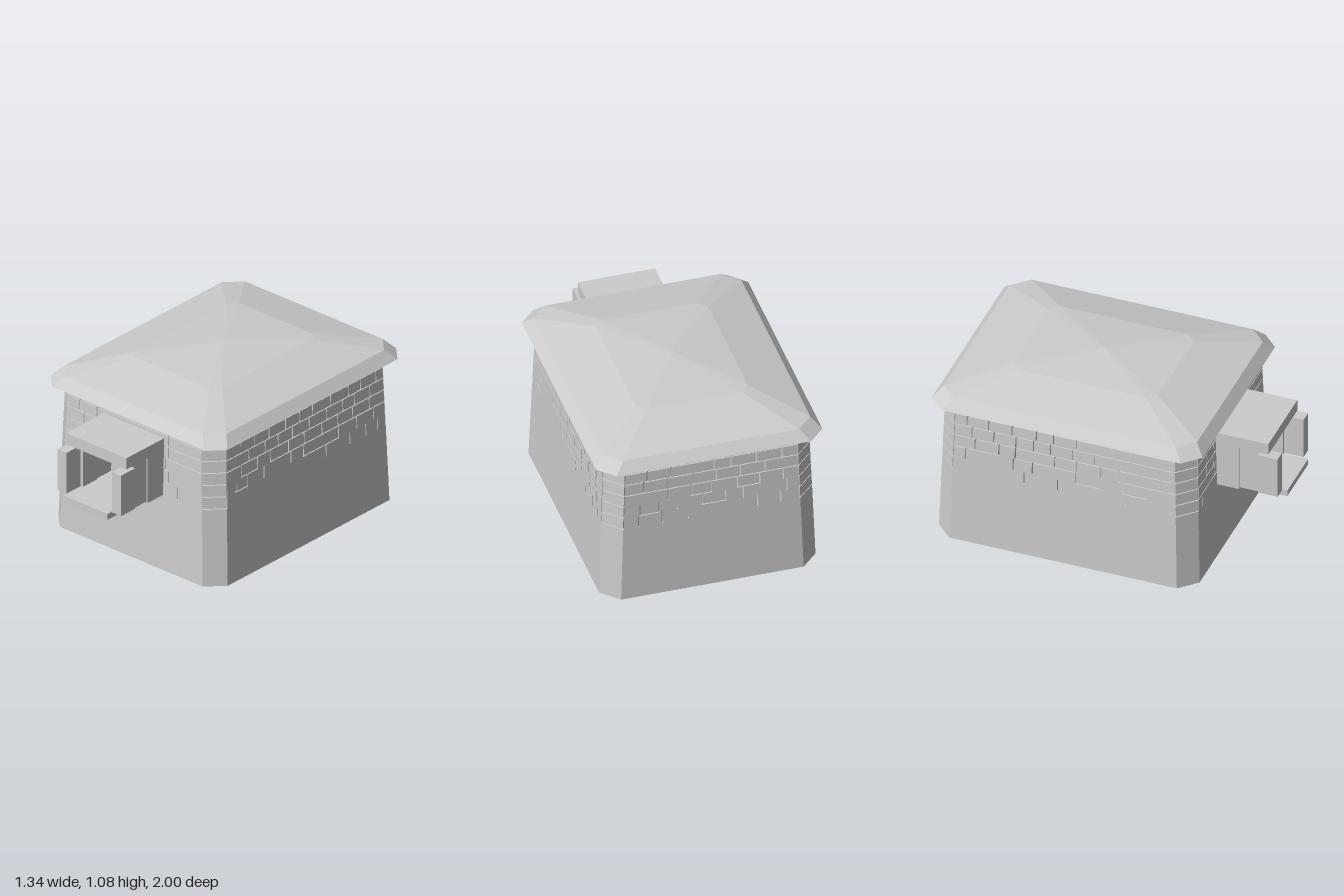
import * as THREE from 'three';
import { mergeGeometries } from 'three/addons/utils/BufferGeometryUtils.js';

const CZ = -0.178;

// Chamfered rectangle at height y, counter-clockwise seen from above
function ring(hx, hz, c, y) {
  return [[-hx + c, hz], [hx - c, hz], [hx, hz - c], [hx, -hz + c],
    [hx - c, -hz], [-hx + c, -hz], [-hx, -hz + c], [-hx, hz - c]]
    .map(([x, z]) => new THREE.Vector3(x, y, z + CZ));
}

// Battered wall outline, optionally set back
const wallRing = (y, inset = 0) => ring(0.64 - 0.034 * y - inset, 0.79 - 0.028 * y - inset, 0.1, y);

// Closed solid through a stack of rings
function loft(rings) {
  const pos = [];
  const tri = (...pts) => pts.forEach((p) => pos.push(p.x, p.y, p.z));
  const n = rings[0].length;
  const top = rings[rings.length - 1];
  for (let i = 0; i < n; i++) {
    const j = (i + 1) % n;
    for (let k = 0; k < rings.length - 1; k++) {
      const a = rings[k], b = rings[k + 1];
      tri(a[i], a[j], b[j]);
      tri(a[i], b[j], b[i]);
    }
    if (i > 0 && i < n - 1) {
      tri(rings[0][0], rings[0][j], rings[0][i]);
      tri(top[0], top[i], top[j]);
    }
  }
  const g = new THREE.BufferGeometry();
  g.setAttribute('position', new THREE.Float32BufferAttribute(pos, 3));
  g.computeVertexNormals();
  return g;
}

// Stone lying in wall side i, spanning s0..s1 along it and y0..y1 in height
function stone(i, s0, s1, y0, y1) {
  const g = new THREE.BoxGeometry(1, 1, 1).toNonIndexed();
  const p = g.attributes.position;
  for (let k = 0; k < p.count; k++) {
    const y = p.getY(k) > 0 ? y1 : y0;
    const r = wallRing(y, p.getZ(k) > 0 ? 0 : 0.013);
    const v = r[i].clone().lerp(r[(i + 1) % 8], p.getX(k) > 0 ? s1 : s0);
    p.setXYZ(k, v.x, v.y, v.z);
  }
  g.computeVertexNormals();
  return g;
}

let seed = 7;
const rand = () => (seed = (seed * 16807) % 2147483647) / 2147483647;

export function createModel() {
  const model = new THREE.Group();
  const stoneGrey = new THREE.MeshStandardMaterial({ color: 0xcccccc });
  stoneGrey.name = 'stoneGrey';
  const add = (name, geometry, parent = model) => {
    const m = new THREE.Mesh(geometry, stoneGrey);
    m.name = name;
    parent.add(m);
    return m;
  };

  // Plain lower wall and the set-back core behind the stonework
  add('lowerWall', loft([wallRing(0), wallRing(0.48)]));
  add('upperWallCore', loft([wallRing(0.48, 0.012), wallRing(0.905, 0.012)]));

  // Stone courses; the lower ones fade into the plain wall
  const rows = [0.48, 0.555, 0.63, 0.705, 0.78, 0.85, 0.902];
  const bricks = [], corners = [];
  const gap = 0.007;
  for (let side = 0; side < 8; side++) {
    for (let row = 0; row < 6; row++) {
      const y0 = rows[row], y1 = rows[row + 1];
      if (side % 2) {
        corners.push(stone(side, 0.01, 0.99, y0 + 0.006, y1));
        continue;
      }
      const length = side % 4 ? 1.38 : 1.06;
      const skip = [0.6, 0.3, 0.1, 0, 0, 0][row];
      const fade = [1, 0.75, 0.35, 0, 0, 0][row];
      const cuts = [0];
      for (let u = 0.06 + 0.09 * rand(); u < length - 0.05; u += 0.1 + 0.06 * rand()) {
        // Smooth panel behind the window
        const panel = side === 0 && Math.abs(u - length / 2) < 0.17;
        if (!panel && rand() >= skip) cuts.push(u);
      }
      cuts.push(length);
      for (let k = 0; k < cuts.length - 1; k++) {
        const low = rand() < fade ? y0 : y0 + 0.006;
        bricks.push(stone(side, (cuts[k] + gap / 2) / length, (cuts[k + 1] - gap / 2) / length, low, y1));
      }
    }
  }
  add('wallStones', mergeGeometries(bricks));
  add('cornerStones', mergeGeometries(corners));

  // Faceted hipped roof with flared eaves
  add('roof', loft([
    ring(0.67, 0.82, 0.095, 0.9),
    ring(0.615, 0.767, 0.095, 0.96),
    ring(0.33, 0.44, 0.05, 1.04),
    ring(0.001, 0.001, 0.0003, 1.075),
  ]));

  // Projecting window of stone slabs
  const frame = new THREE.Group();
  frame.name = 'windowFrame';
  model.add(frame);
  const slab = (name, x0, x1, y0, y1, z0, z1) => {
    const m = add(name, new THREE.BoxGeometry(x1 - x0, y1 - y0, z1 - z0), frame);
    m.position.set((x0 + x1) / 2, (y0 + y1) / 2, (z0 + z1) / 2);
  };
  slab('sill', -0.165, 0.165, 0.45, 0.488, 0.57, 1.0);
  slab('lintel', -0.23, 0.228, 0.76, 0.832, 0.57, 0.91);
  for (const [label, s] of [['left', 1], ['right', -1]]) {
    const jamb = (name, a, b, ...rest) => slab(label + name, Math.min(a * s, b * s), Math.max(a * s, b * s), ...rest);
    jamb('FrontJamb', 0.172, 0.24, 0.488, 0.748, 0.85, 0.97);
    jamb('MiddleJamb', 0.155, 0.22, 0.48, 0.76, 0.73, 0.85);
    jamb('BackJamb', 0.165, 0.228, 0.472, 0.76, 0.57, 0.73);
  }
  return model;
}
